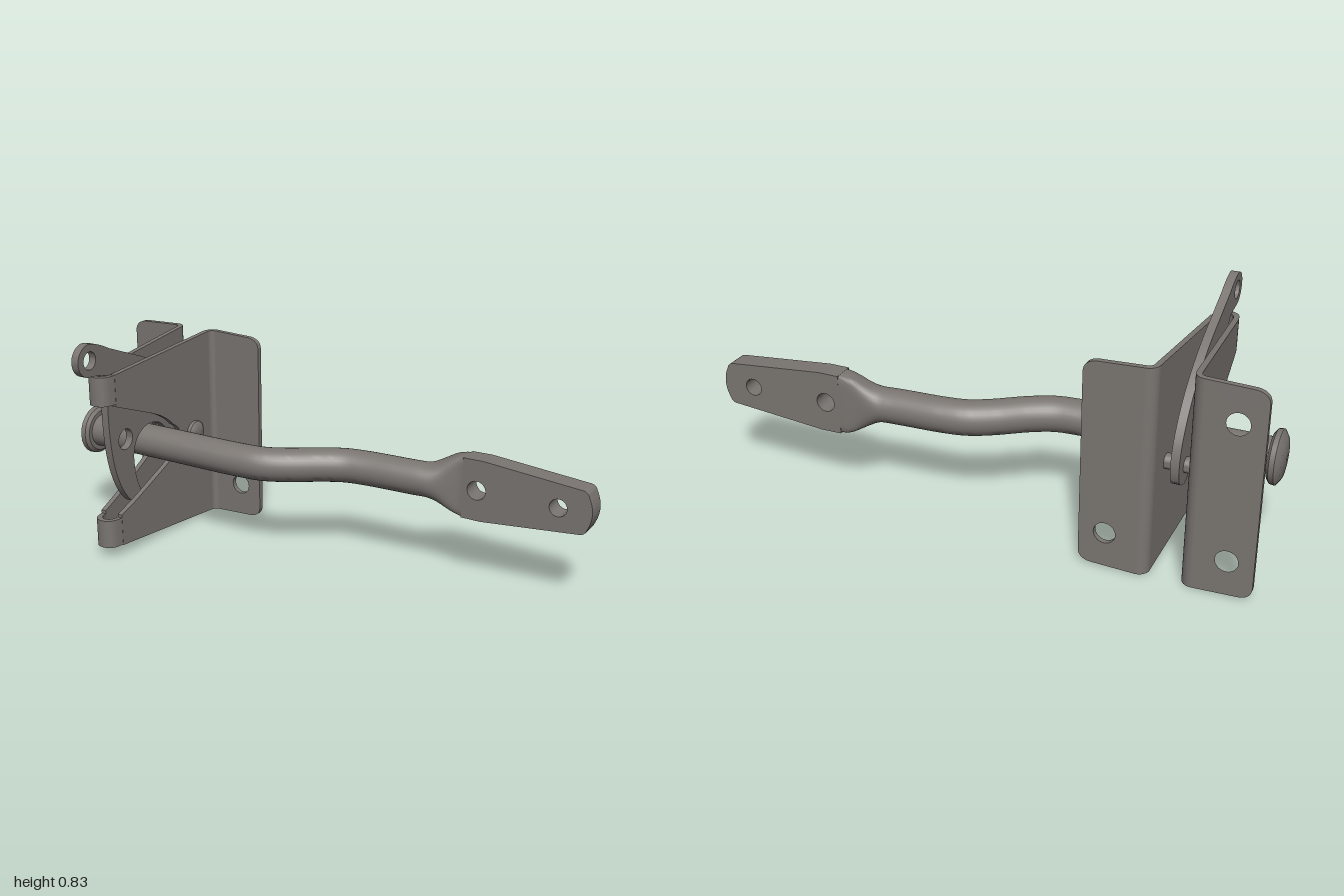
import * as THREE from 'three';
import { toCreasedNormals } from 'three/addons/utils/BufferGeometryUtils.js';

const CX = -0.695; // centre plane of the bracket
const MID = 0.365; // height of the bar

export function createModel() {
  const model = new THREE.Group();
  model.name = 'gateLatch';
  const steel = new THREE.MeshStandardMaterial({ color: 0x7a7571 });
  steel.name = 'agedSteel';

  const add = (name, geo, parent = model) => {
    const mesh = new THREE.Mesh(toCreasedNormals(geo, 0.6), steel);
    mesh.name = name;
    parent.add(mesh);
    return mesh;
  };
  const hole = (shape, x, y, r) => {
    const p = new THREE.Path();
    p.absarc(x, y, r, 0, Math.PI * 2, true);
    shape.holes.push(p);
  };
  const extrude = (shape, depth) =>
    new THREE.ExtrudeGeometry(shape, { depth, bevelEnabled: false, curveSegments: 14 });
  // Shape drawn in (z, y), thickness centred on x = 0
  const sidePlate = (shape, t) => extrude(shape, t).translate(0, 0, -t / 2).rotateY(-Math.PI / 2);
  // Shape drawn in (x, z), standing from y0 to y1
  const upright = (shape, y0, y1) => extrude(shape, y1 - y0).rotateX(Math.PI / 2).translate(0, y1, 0);
  // Solid of revolution about x; profile heights run towards -x
  const turned = (points, segments = 24) =>
    new THREE.LatheGeometry(points.map(p => new THREE.Vector2(...p)), segments).rotateZ(Math.PI / 2);

  // --- Bracket: two mirrored halves joined by noses ---
  const bracket = new THREE.Group();
  bracket.name = 'bracket';
  bracket.position.x = CX;
  model.add(bracket);

  for (const s of [1, -1]) {
    const side = s > 0 ? 'left' : 'right';

    // screw flange with rounded outer corners
    const f = new THREE.Shape();
    f.moveTo(s * 0.095, 0);
    f.lineTo(s * 0.25, 0.006);
    f.quadraticCurveTo(s * 0.295, 0.01, s * 0.295, 0.05);
    f.lineTo(s * 0.295, 0.70);
    f.quadraticCurveTo(s * 0.295, 0.738, s * 0.25, 0.744);
    f.lineTo(s * 0.095, 0.75);
    hole(f, s * 0.205, 0.62, 0.038);
    hole(f, s * 0.205, 0.13, 0.038);
    add(side + 'Flange', extrude(f, 0.02).translate(0, 0, -0.365), bracket);

    // bend between flange and cheek
    const b = new THREE.Shape();
    const a0 = s > 0 ? Math.PI : 0, a1 = s > 0 ? Math.PI * 1.5 : -Math.PI / 2;
    b.absarc(s * 0.095, -0.325, 0.04, a0, a1, s < 0);
    b.absarc(s * 0.095, -0.325, 0.02, a1, a0, s > 0);
    add(side + 'Bend', upright(b, 0, 0.75), bracket);

    // cheek with the V-shaped mouth, leaning inwards to the front
    const c = new THREE.Shape();
    c.moveTo(-0.325, 0.001);
    c.lineTo(0.215, 0.04);
    c.lineTo(0.215, 0.162);
    c.lineTo(0.13, 0.195);
    c.lineTo(-0.02, 0.265);
    c.quadraticCurveTo(-0.14, 0.32, -0.14, 0.37);
    c.quadraticCurveTo(-0.14, 0.41, -0.1, 0.43);
    c.quadraticCurveTo(-0.06, 0.475, 0.02, 0.508);
    c.lineTo(0.215, 0.585);
    c.lineTo(0.215, 0.705);
    c.lineTo(-0.325, 0.75);
    const g = sidePlate(c, 0.02);
    const p = g.attributes.position;
    for (let i = 0; i < p.count; i++) {
      const k = (p.getZ(i) + 0.325) / 0.54;
      p.setX(i, p.getX(i) + s * (0.065 - 0.026 * k));
    }
    add(side + 'Cheek', g, bracket);
  }

  // U-shaped noses closing the front, above and below the mouth
  const u = new THREE.Shape();
  u.moveTo(-0.049, 0.21);
  u.lineTo(-0.045, 0.235);
  u.quadraticCurveTo(-0.038, 0.275, 0, 0.275);
  u.quadraticCurveTo(0.038, 0.275, 0.045, 0.235);
  u.lineTo(0.049, 0.21);
  u.lineTo(0.029, 0.21);
  u.lineTo(0.027, 0.23);
  u.quadraticCurveTo(0.02, 0.255, 0, 0.255);
  u.quadraticCurveTo(-0.02, 0.255, -0.027, 0.23);
  u.lineTo(-0.029, 0.21);
  add('upperNose', upright(u, 0.595, 0.704), bracket);
  add('lowerNose', upright(u, 0.042, 0.15), bracket);

  // --- Swinging pawl with its pull ring and hook ---
  const w = new THREE.Shape();
  w.moveTo(-0.29, 0.33);
  w.quadraticCurveTo(-0.22, 0.26, -0.16, 0.33);
  w.quadraticCurveTo(-0.13, 0.40, -0.08, 0.435);
  w.quadraticCurveTo(-0.04, 0.455, 0, 0.45);
  w.bezierCurveTo(0.06, 0.44, 0.09, 0.385, 0.086, 0.33);
  w.quadraticCurveTo(0.083, 0.26, 0.06, 0.22);
  w.lineTo(0.05, 0.18);
  w.quadraticCurveTo(0.08, 0.15, 0.12, 0.185);
  w.bezierCurveTo(0.19, 0.26, 0.224, 0.38, 0.222, 0.58);
  w.lineTo(0.222, 0.7);
  w.lineTo(0.25, 0.708);
  w.lineTo(0.3, 0.715);
  w.absarc(0.307, 0.775, 0.06, -Math.PI / 2, Math.PI * 0.6 - Math.PI * 2 + Math.PI * 2, false);
  w.quadraticCurveTo(0.25, 0.825, 0.2, 0.797);
  w.lineTo(0.02, 0.725);
  w.quadraticCurveTo(-0.2, 0.63, -0.28, 0.47);
  w.quadraticCurveTo(-0.315, 0.39, -0.29, 0.33);
  hole(w, 0.13, 0.43, 0.04);
  hole(w, 0.305, 0.775, 0.033);
  add('pawl', sidePlate(w, 0.03)).position.x = CX;

  // --- Pivot bolt ---
  const bolt = new THREE.Group();
  bolt.name = 'pivotBolt';
  bolt.position.set(0, MID, -0.225);
  model.add(bolt);
  const disc = (name, x0, x1, r, n = 24) =>
    add(name, new THREE.CylinderGeometry(r, r, x1 - x0, n).rotateZ(Math.PI / 2)
      .translate((x0 + x1) / 2, 0, 0), bolt);
  disc('shank', -0.84, -0.61, 0.027);
  disc('washer', -0.79, -0.765, 0.046);
  disc('nutCollar', -0.82, -0.79, 0.057);
  disc('nut', -0.84, -0.82, 0.046, 6);
  add('domedHead', turned([[0, 0], [0.018, 0.001], [0.034, 0.006], [0.045, 0.015], [0.047, 0.04], [0, 0.04]])
    .translate(-0.598, 0, 0), bolt);

  // --- Striker bar: round section flattening towards the paddle ---
  const path = new THREE.CatmullRomCurve3([
    [-0.96, -0.055], [-0.6, -0.055], [-0.3, -0.055], [-0.2, -0.065], [-0.12, -0.1],
    [0, -0.178], [0.07, -0.212], [0.15, -0.226], [0.38, -0.24], [0.45, -0.257], [0.51, -0.27], [0.53, -0.27],
  ].map(([x, z]) => new THREE.Vector3(x, MID, z)));
  const N = 100, M = 32, pos = [], idx = [];
  const power = (v, e) => Math.sign(v) * Math.pow(Math.abs(v), e);
  for (let i = 0; i <= N; i++) {
    const c = path.getPointAt(i / N), t = path.getTangentAt(i / N);
    const k = THREE.MathUtils.smoothstep(c.x, 0.38, 0.52);
    const ry = 0.063 + 0.049 * k, rz = 0.063 - 0.023 * k, e = 1 - 0.75 * k;
    for (let j = 0; j < M; j++) {
      const a = (j / M) * Math.PI * 2;
      const n = rz * power(Math.cos(a), e);
      pos.push(c.x - t.z * n, c.y + ry * power(Math.sin(a), e), c.z + t.x * n);
      if (i < N) {
        const q = i * M + j, r = i * M + (j + 1) % M;
        idx.push(q, q + M, r, q + M, r + M, r);
      }
    }
  }
  const barGeo = new THREE.BufferGeometry();
  barGeo.setAttribute('position', new THREE.Float32BufferAttribute(pos, 3));
  barGeo.setIndex(idx);
  add('strikerBar', barGeo);

  // flat paddle with two screw holes
  const d = new THREE.Shape();
  d.moveTo(0.525, -0.112);
  d.lineTo(0.6, -0.113);
  d.lineTo(0.96, -0.08);
  d.quadraticCurveTo(0.98, -0.078, 0.985, -0.06);
  d.quadraticCurveTo(1.015, 0, 0.985, 0.06);
  d.quadraticCurveTo(0.98, 0.078, 0.96, 0.08);
  d.lineTo(0.6, 0.113);
  d.lineTo(0.525, 0.112);
  hole(d, 0.58, 0, 0.035);
  hole(d, 0.88, 0, 0.032);
  add('paddle', extrude(d, 0.08).translate(0, MID, -0.31));

  // button on the free end of the bar
  add('endButton', turned([[0, 0], [0.08, 0], [0.093, 0.01], [0.095, 0.028], [0.07, 0.044], [0, 0.05]])
    .translate(-0.95, MID, -0.055));

  return model;
}
